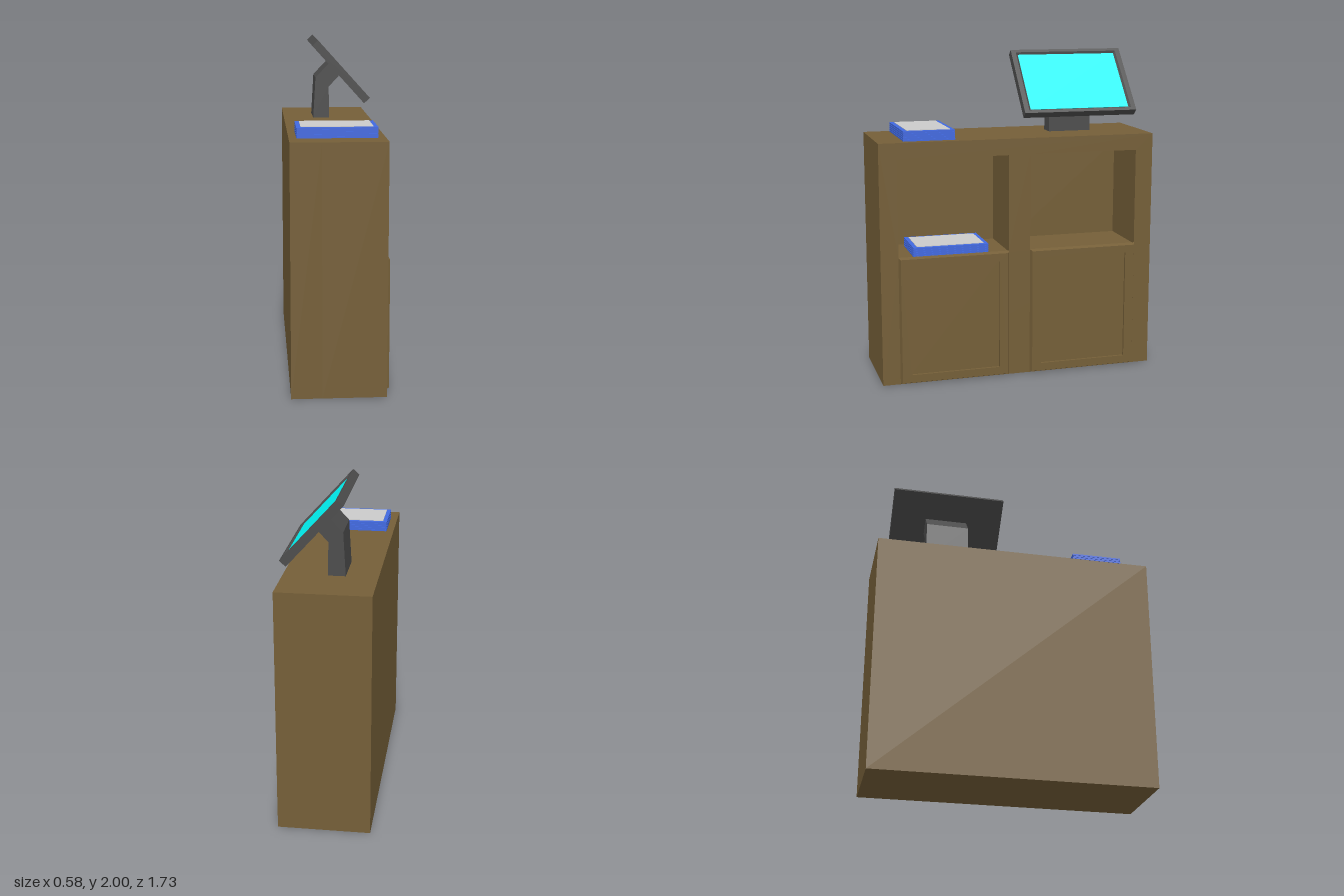
import * as THREE from 'three';

const material = (color) => new THREE.MeshStandardMaterial({ color, flatShading: true });

function addMesh(parent, name, geometry, mat, x = 0, y = 0, z = 0) {
  const mesh = new THREE.Mesh(geometry, mat);
  mesh.name = name;
  mesh.position.set(x, y, z);
  parent.add(mesh);
  return mesh;
}

// Panel facing +x, lofted through rectangles [width along z, height, x] from back to front
function panelGeometry(rings) {
  const loops = rings.map(([w, h, x]) =>
    [[1, -1], [-1, -1], [-1, 1], [1, 1]].map(([sz, sy]) => [x, (sy * h) / 2, (sz * w) / 2]));
  const points = [];
  const quad = (a, b, c, d) => points.push(...a, ...b, ...c, ...a, ...c, ...d);
  for (let r = 0; r < loops.length - 1; r++) {
    for (let i = 0; i < 4; i++) {
      const j = (i + 1) % 4;
      quad(loops[r][i], loops[r][j], loops[r + 1][j], loops[r + 1][i]);
    }
  }
  quad(...loops[loops.length - 1]);
  quad(...[...loops[0]].reverse());
  const geometry = new THREE.BufferGeometry();
  geometry.setAttribute('position', new THREE.Float32BufferAttribute(points, 3));
  geometry.computeVertexNormals();
  return geometry;
}

function rectangle(PathType, x0, y0, x1, y1) {
  return new PathType([[x0, y0], [x1, y0], [x1, y1], [x0, y1]].map((p) => new THREE.Vector2(...p)));
}

// Book: stacked blue layers with narrow grooves and a grey cover panel
function createBook(name, blue, grey) {
  const book = new THREE.Group();
  book.name = name;
  const layers = 5;
  const step = 0.063 / layers;
  addMesh(book, 'bookCore', new THREE.BoxGeometry(0.46, 0.06, 0.31), blue, 0, 0.03, 0);
  for (let i = 0; i < layers; i++) {
    addMesh(book, 'bookLayer', new THREE.BoxGeometry(0.466, step - 0.003, 0.316), blue,
      0, (i + 0.5) * step, 0);
  }
  addMesh(book, 'bookCover', new THREE.BoxGeometry(0.416, 0.004, 0.266), grey, 0, 0.063, 0);
  return book;
}

export function createModel() {
  const model = new THREE.Group();
  model.name = 'cabinetWithMonitor';
  const wood = material(0x755f38);
  const dark = material(0x4c4c4c);
  const blue = material(0x4169e1);
  const grey = material(0xcccccc);
  const cyan = material(0x00ffff);

  // Cabinet: solid back and a front block with two open niches
  const cabinet = new THREE.Group();
  cabinet.name = 'cabinet';
  model.add(cabinet);
  const backX = -0.11;
  const frontX = 0.265;
  addMesh(cabinet, 'cabinetBack', new THREE.BoxGeometry(backX + 0.29, 1.49, 1.73), wood,
    (backX - 0.29) / 2, 0.745, 0);
  const face = rectangle(THREE.Shape, -0.865, 0, 0.865, 1.49);
  face.holes.push(rectangle(THREE.Path, -0.755, 0.79, -0.068, 1.39));
  face.holes.push(rectangle(THREE.Path, 0.068, 0.79, 0.755, 1.39));
  const carcass = new THREE.ExtrudeGeometry(face, { depth: frontX - backX, bevelEnabled: false });
  carcass.rotateY(Math.PI / 2);
  addMesh(cabinet, 'cabinetFront', carcass, wood, backX, 0, 0);

  // Doors with tapered edges and a recessed panel
  const doorGeometry = panelGeometry([
    [0.69, 0.795, 0], [0.67, 0.775, 0.024], [0.555, 0.68, 0.024], [0.555, 0.68, 0.008],
  ]);
  for (const side of [-1, 1]) {
    addMesh(cabinet, 'door', doorGeometry, wood, frontX, 0.4, side * 0.412);
  }

  // Books: one on the top, one turned on the shelf
  const topBook = createBook('topBook', blue, grey);
  topBook.position.set(-0.013, 1.49, 0.548);
  const shelfBook = createBook('shelfBook', blue, grey);
  shelfBook.position.set(0.095, 0.785, 0.428);
  shelfBook.rotation.y = Math.PI / 2;
  model.add(topBook, shelfBook);

  // Bent monitor stand
  const profile = [[-0.1, 1.49], [0.004, 1.49], [0, 1.69], [0.07, 1.765], [0.005, 1.845], [-0.085, 1.75]];
  const stand = new THREE.ExtrudeGeometry(
    new THREE.Shape(profile.map((p) => new THREE.Vector2(...p))),
    { depth: 0.27, bevelEnabled: false });
  addMesh(model, 'monitorStand', stand, dark, 0, 0, -0.54);

  // Tilted monitor with a sloped lip around the screen
  const monitor = new THREE.Group();
  monitor.name = 'monitor';
  monitor.position.set(0.0645, 1.803, -0.4);
  monitor.rotation.z = 0.735;
  model.add(monitor);
  addMesh(monitor, 'monitorFrame', panelGeometry([
    [0.72, 0.486, -0.025], [0.72, 0.486, 0.025], [0.66, 0.446, 0.025], [0.637, 0.424, 0.014],
  ]), dark);
  addMesh(monitor, 'screen', new THREE.BoxGeometry(0.004, 0.422, 0.635), cyan, 0.0135, 0, 0);

  return model;
}
